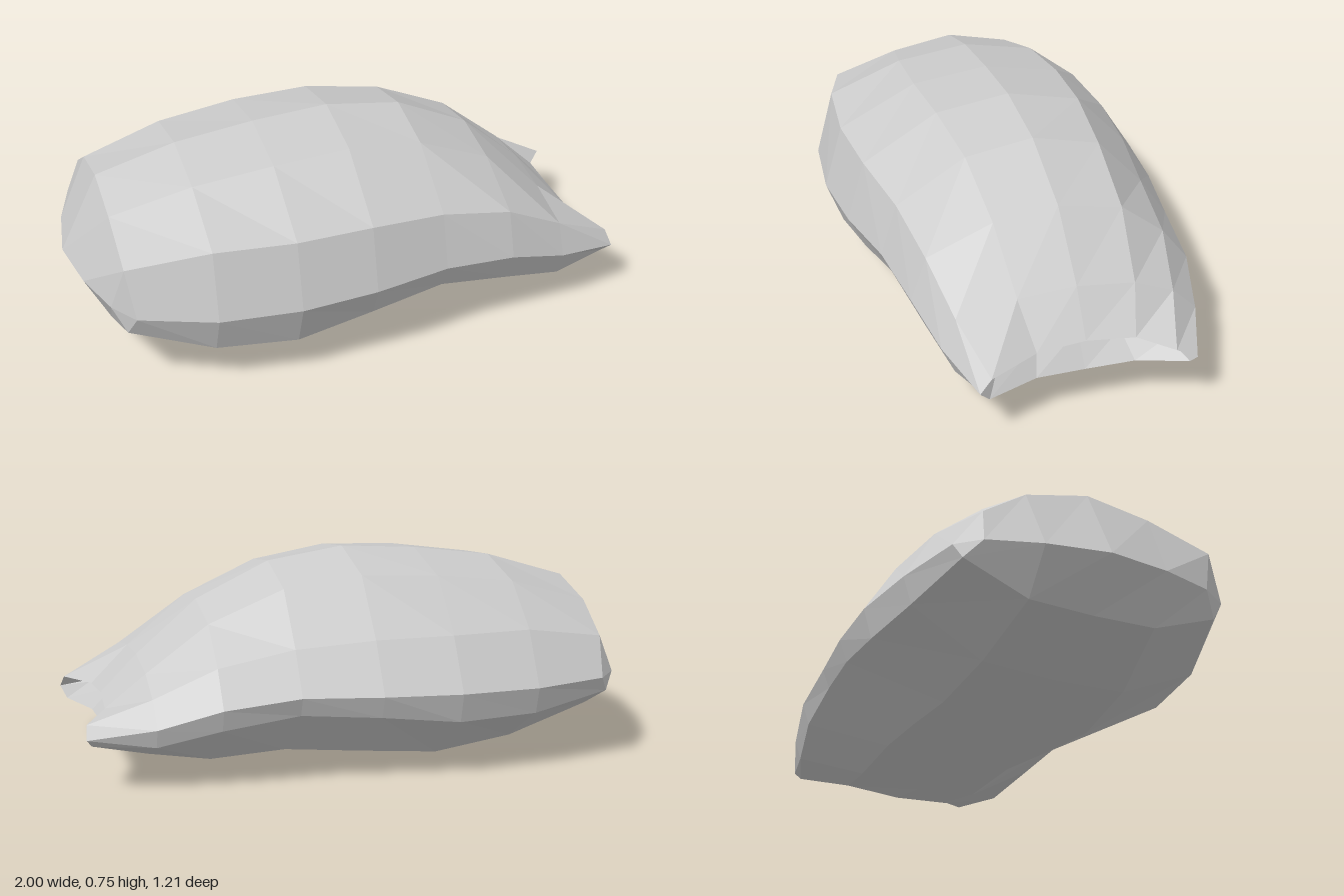
import * as THREE from 'three';

// Share of the half width reached by each of 7 rows, top to bottom
const FRONT_SPREAD = [-0.04, 0.42, 0.89, 1, 0.9, 0.42, -0.04];
const BACK_SPREAD = [0.04, 0.5, 0.81, 1, 0.95, 0.5, 0.04];
// The back is slimmer: its rows sink this far towards the side edge (row 3)
const BACK_SINK = [0, 0.05, 0.22, 0, 0.33, 0.05, 0];

// Stations along x: [x, half width, centre z, then the height of each row]
const STATIONS = [
  [-0.86, 0.505, -0.015, 0.60, 0.56, 0.485, 0.315, 0.235, 0.145, 0.14],
  [-0.57, 0.58, 0, 0.69, 0.655, 0.55, 0.31, 0.165, 0.045, 0.04],
  [-0.28, 0.607, 0, 0.73, 0.695, 0.55, 0.315, 0.155, 0.005, 0],
  [0.00, 0.585, -0.005, 0.75, 0.71, 0.545, 0.32, 0.2, 0.03, 0.02],
  [0.28, 0.535, -0.015, 0.71, 0.67, 0.515, 0.325, 0.225, 0.055, 0.045],
  [0.55, 0.505, -0.025, 0.585, 0.555, 0.455, 0.295, 0.18, 0.04, 0.025],
  [0.77, 0.455, -0.025, 0.395, 0.38, 0.34, 0.23, 0.13, 0.075, 0.065],
  [0.90, 0.38, -0.02, 0.26, 0.25, 0.235, 0.19, 0.15, 0.15, 0.145],
];
const HEAD_OFFSET = [0, 0, 0, 0.025, 0, -0.015, -0.02];
const TAIL_OFFSET = [0, 0.01, 0.09, 0.1, 0.08, 0.01, 0]; // corners reach past the middle

// Closed ring of 12 points: front half downwards, back half upwards
function ring([x, w, centre, ...ys], offset) {
  const point = (j, side) => {
    const back = side < 0;
    const y = back ? ys[j] + BACK_SINK[j] * (ys[3] - ys[j]) : ys[j];
    const z = centre + side * w * (back ? BACK_SPREAD : FRONT_SPREAD)[j];
    return new THREE.Vector3(x + (offset ? offset[j] : 0), y, z);
  };
  return [
    ...[0, 1, 2, 3, 4, 5, 6].map((j) => point(j, 1)),
    ...[5, 4, 3, 2, 1].map((j) => point(j, -1)),
  ];
}

// Skin neighbouring rings, leaving out collapsed triangles
function loft(rings) {
  const out = [];
  const tri = (a, b, c) => {
    const area = b.clone().sub(a).cross(c.clone().sub(a)).length();
    if (area > 1e-6) for (const p of [a, b, c]) out.push(p.x, p.y, p.z);
  };
  for (let i = 0; i < rings.length - 1; i++) {
    const n = rings[i].length;
    for (let j = 0; j < n; j++) {
      const k = (j + 1) % n;
      const a = rings[i][j], b = rings[i + 1][j], c = rings[i + 1][k], d = rings[i][k];
      tri(a, d, c);
      tri(a, c, b);
    }
  }
  const geometry = new THREE.BufferGeometry();
  geometry.setAttribute('position', new THREE.Float32BufferAttribute(out, 3));
  geometry.computeVertexNormals();
  return geometry;
}

export function createModel() {
  const group = new THREE.Group();
  group.name = 'facetedShell';
  const material = new THREE.MeshStandardMaterial({
    color: 0xcccccc, flatShading: true, side: THREE.DoubleSide,
  });
  const add = (name, rings) => {
    const mesh = new THREE.Mesh(loft(rings), material);
    mesh.name = name;
    group.add(mesh);
  };

  // Main body
  const last = STATIONS.length - 1;
  const offsets = { 0: HEAD_OFFSET, [last]: TAIL_OFFSET };
  const body = STATIONS.map((station, i) => ring(station, offsets[i]));
  add('body', body);

  // Head: the first ring closes onto a horizontal ridge, bowed outwards
  const ridgeX = [-1, -0.965, -0.905];
  const ridgeZ = [0, 0.225, 0.415];
  const ridge = body[0].map((p, j) => {
    const step = 3 - Math.abs(3 - (j % 6)); // 0 at the middle, 3 at the side edge
    if (step === 3) return p;
    return new THREE.Vector3(ridgeX[step], 0.317, -0.025 + (j < 6 ? 1 : -1) * ridgeZ[step]);
  });
  add('headCap', [ridge, body[0]]);

  // Tail: mouth whose floor slopes up to meet a level ceiling
  const lip = body[last];
  const throat = lip.map((p) => new THREE.Vector3(
    p.x - 0.08, 0.255 - 0.1 * Math.abs(p.z + 0.02), -0.02 + (p.z + 0.02) * 0.85));
  add('tailMouth', [lip, throat]);

  return group;
}
